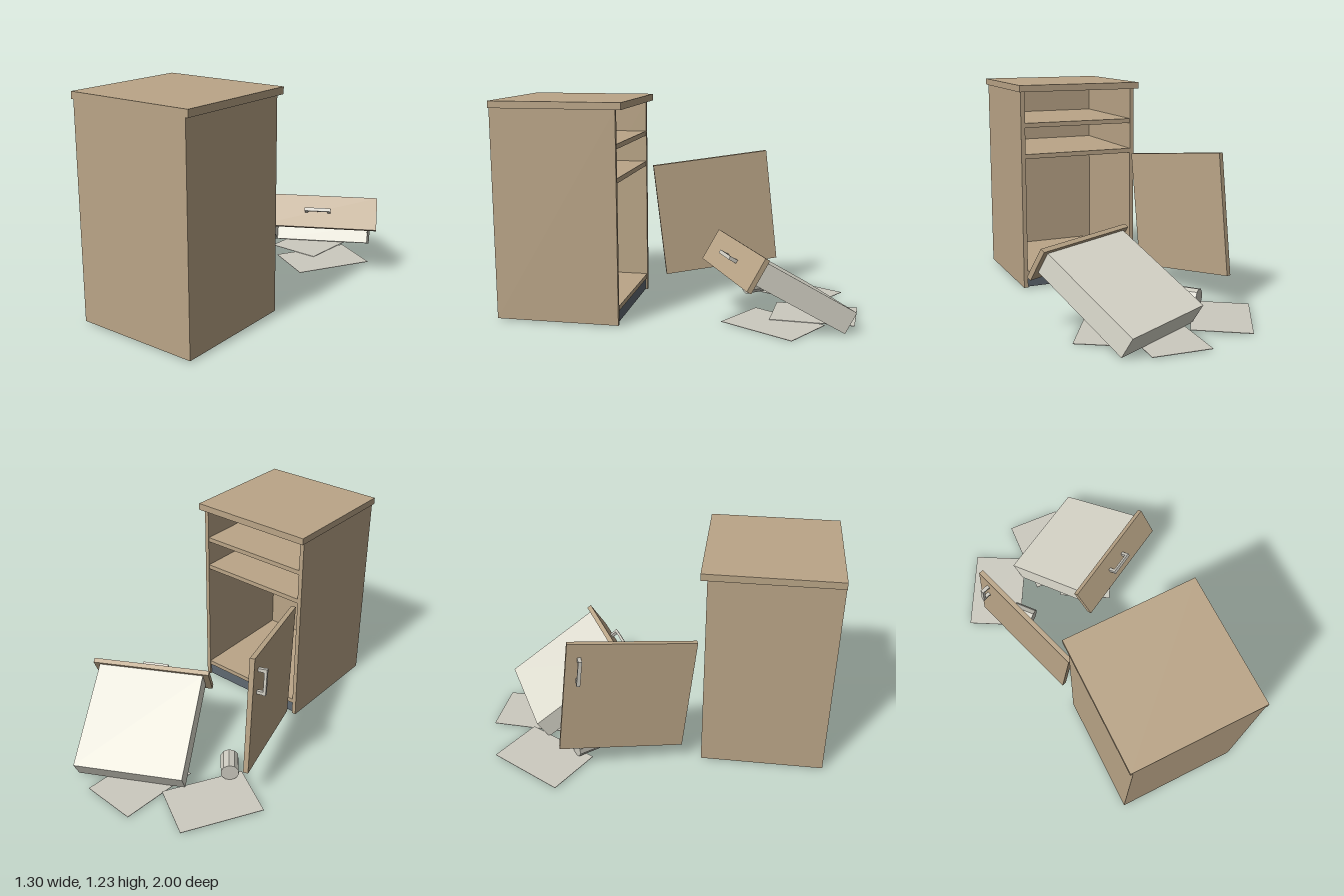
import * as THREE from 'three';

export function createModel() {
  const mat = (name, color) => {
    const m = new THREE.MeshStandardMaterial({ color });
    m.name = name;
    return m;
  };
  const wood = mat('wood', 0xbaa587);
  const cream = mat('cream', 0xdfddd0);
  const paper = mat('paper', 0xcccabf);
  const metal = mat('handle metal', 0xccc9bf);
  const slate = mat('slate', 0x5f6871);

  const model = new THREE.Group();
  model.name = 'brokenCabinet';

  const group = (name, parent = model) => {
    const g = new THREE.Group();
    g.name = name;
    parent.add(g);
    return g;
  };
  // Box given by its minimum and maximum corners
  const box = (name, parent, material, [x0, y0, z0], [x1, y1, z1]) => {
    const m = new THREE.Mesh(new THREE.BoxGeometry(x1 - x0, y1 - y0, z1 - z0), material);
    m.position.set((x0 + x1) / 2, (y0 + y1) / 2, (z0 + z1) / 2);
    m.name = name;
    parent.add(m);
    return m;
  };
  // Bracket handle along local x, standing out along +z
  const handle = (name, parent) => {
    const g = group(name, parent);
    box('handleBar', g, metal, [-0.077, -0.01, 0.035], [0.077, 0.01, 0.05]);
    for (const s of [-1, 1]) {
      const post = box('handlePost', g, metal, [-0.009, -0.01, 0], [0.009, 0.01, 0.036]);
      post.position.x = s * 0.066;
    }
    return g;
  };

  // Cabinet carcass, open towards -z
  const cabinet = group('cabinet');
  const L = -0.29, R = 0.435, F = 0.295, T = 0.025;
  box('top', cabinet, wood, [-0.305, 1.197, 0.26], [0.45, 1.236, 1]);
  box('sidePanel', cabinet, wood, [L, 0.01, F], [L + T, 1.197, 1]);
  box('sidePanel', cabinet, wood, [R - T, 0.01, F], [R, 1.197, 1]);
  box('closedPanel', cabinet, wood, [L + T, 0.01, 1 - T], [R - T, 1.197, 1]);
  for (const y of [0.085, 0.8, 0.985]) {
    box('shelf', cabinet, wood, [L + T, y, F + 0.003], [R - T, y + 0.027, 1 - T]);
  }
  box('kickPlate', cabinet, slate, [L + T, 0.012, F + 0.012], [R - T, 0.085, F + 0.03]);

  // Sagging open door
  const door = group('door');
  door.position.set(-0.395, 0.497, -0.118);
  door.rotation.set(0, -1.241, -0.115, 'YXZ');
  box('doorPanel', door, wood, [-0.355, -0.347, -0.014], [0.355, 0.347, 0.014]);
  const doorHandle = handle('doorHandle', door);
  doorHandle.position.set(-0.285, 0.19, 0.014);
  doorHandle.rotation.z = Math.PI / 2;

  // Drawer lying upside down, its far end resting on the ground
  const drawer = group('drawer');
  drawer.position.set(0.316, 0.393, -0.315);
  drawer.rotation.set(-0.546, 0.496, 0, 'YXZ');
  box('drawerFront', drawer, wood, [-0.346, -0.097, -0.028], [0.346, 0.097, 0]);
  const W = 0.311, back = -0.655, t = 0.015;
  box('drawerBase', drawer, cream, [-W, 0.065, back], [W, 0.08, -0.028]);
  for (const s of [-1, 1]) {
    const side = box('drawerSide', drawer, cream, [-t / 2, -0.05, back], [t / 2, 0.065, -0.028]);
    side.position.x = s * (W - t / 2);
  }
  box('drawerEnd', drawer, cream, [-W + t, -0.05, back], [W - t, 0.065, back + t]);
  box('drawerInnerFront', drawer, cream, [-W + t, -0.05, -0.04], [W - t, 0.065, -0.028]);
  handle('drawerHandle', drawer);

  // Loose sheets on the ground: x, y, z, yaw, roll
  const sheets = [
    [-0.398, 0.013, -0.622, -0.512, 0.02],
    [0.02, 0.009, -0.757, -0.055, 0],
    [0.22, 0.004, -0.535, -0.53, 0],
  ];
  for (const [x, y, z, yaw, roll] of sheets) {
    const sheet = new THREE.Mesh(new THREE.BoxGeometry(0.327, 0.003, 0.474), paper);
    sheet.position.set(x, y, z);
    sheet.rotation.set(0, yaw, roll, 'YXZ');
    sheet.name = 'paperSheet';
    model.add(sheet);
  }

  // Faceted can lying on its side
  const canShape = new THREE.CylinderGeometry(0.052, 0.052, 0.14, 10).toNonIndexed();
  canShape.computeVertexNormals();
  const can = new THREE.Mesh(canShape, paper);
  can.name = 'can';
  can.position.set(-0.32, 0.067, -0.38);
  can.quaternion.setFromUnitVectors(
    new THREE.Vector3(0, 1, 0),
    new THREE.Vector3(0.65, 0, 0.76).normalize()
  );
  model.add(can);

  return model;
}
